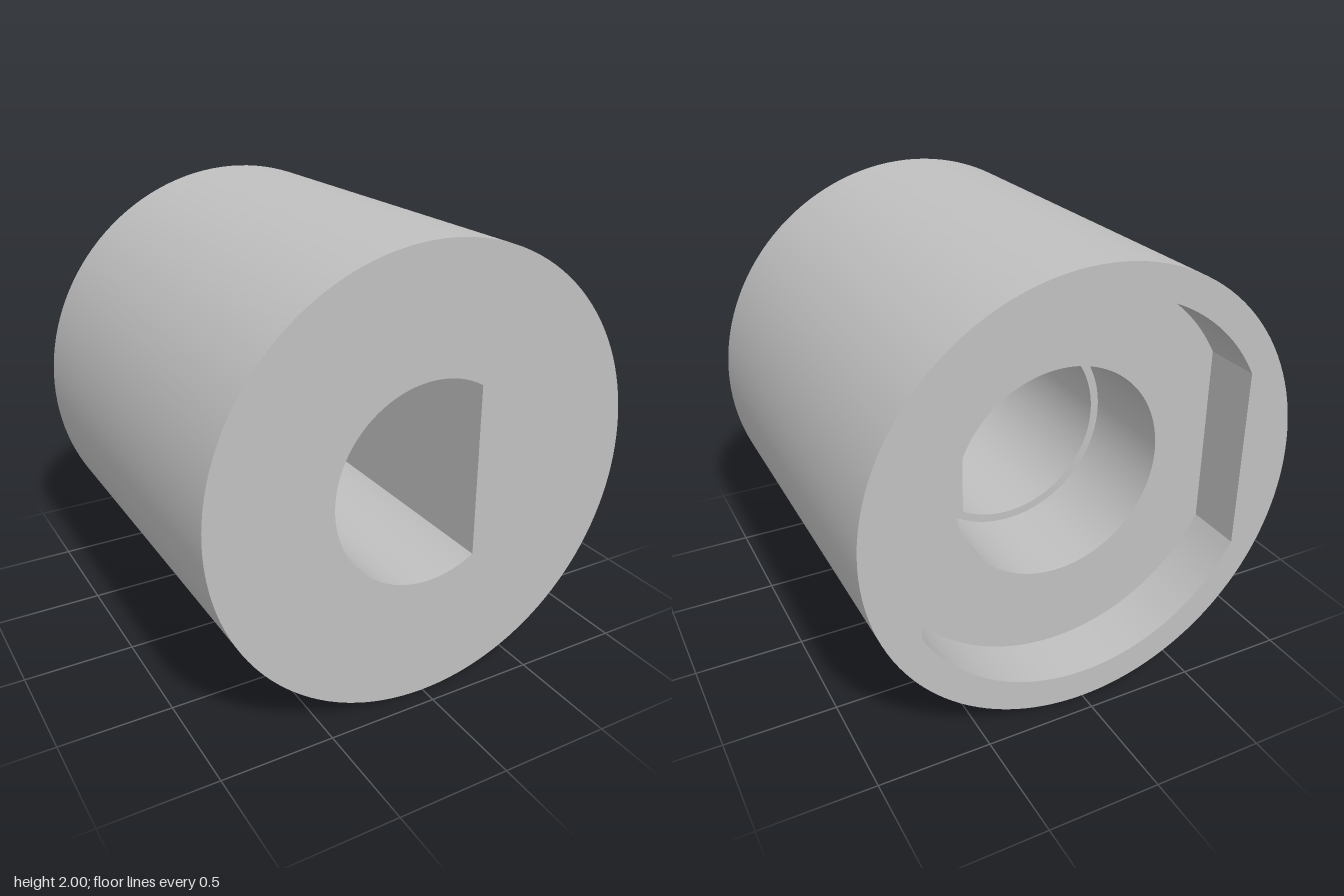
import * as THREE from 'three';
import { toCreasedNormals } from 'three/addons/utils/BufferGeometryUtils.js';

const HALF = 0.92;       // half length of the sleeve
const SHOULDER = -0.19;  // where the D-hole meets the round bore
const FLOOR = -0.66;     // floor of the rear recess

// Counter-clockwise circle of radius r, cut flat at x = right and x = -left
function outline(r, left = r, right = r, steps = 64) {
  const a = Math.acos(right / r), b = Math.acos(left / r);
  const points = [];
  const arc = (from, to, first, last) => {
    for (let i = first; i <= last; i++) {
      const t = from + (to - from) * i / steps;
      points.push(new THREE.Vector2(r * Math.cos(t), r * Math.sin(t)));
    }
  };
  arc(a, Math.PI - b, 0, steps);
  arc(Math.PI + b, 2 * Math.PI - a, b > 0 ? 0 : 1, a > 0 ? steps : steps - 1);
  return points;
}

// Wall swept along z from an outline, facing outward or inward
function wall(points, z0, z1, inward) {
  const ring = inward ? [...points].reverse() : points;
  const position = [];
  ring.forEach((p, i) => {
    const q = ring[(i + 1) % ring.length];
    position.push(p.x, p.y, z0, q.x, q.y, z0, q.x, q.y, z1);
    position.push(p.x, p.y, z0, q.x, q.y, z1, p.x, p.y, z1);
  });
  const geometry = new THREE.BufferGeometry();
  geometry.setAttribute('position', new THREE.Float32BufferAttribute(position, 3));
  return toCreasedNormals(geometry, 0.3);
}

// Flat face between two outlines, facing the front or the back
function face(outer, hole, z, back) {
  const place = (pts) => pts.map((p) => new THREE.Vector2(back ? -p.x : p.x, p.y));
  const shape = new THREE.Shape(place(outer));
  shape.holes.push(new THREE.Path(place(hole)));
  const geometry = new THREE.ShapeGeometry(shape);
  if (back) geometry.rotateY(Math.PI);
  return geometry.translate(0, 0, z);
}

export function createModel() {
  const model = new THREE.Group();
  model.name = 'sleeve';
  const grey = new THREE.MeshStandardMaterial({ color: 0xc0c0c0 });
  grey.name = 'grey';

  const add = (name, geometry) => {
    const mesh = new THREE.Mesh(geometry, grey);
    mesh.name = name;
    mesh.position.y = 1;
    model.add(mesh);
  };

  const body = outline(1);
  const dHole = outline(0.448, 0.448, 0.23);
  const bore = outline(0.487);
  const recess = outline(0.861, 0.755, 0.755);

  // Outer body
  add('outerWall', wall(body, -HALF, HALF, false));
  add('frontFace', face(body, dHole, HALF, false));
  add('backRim', face(body, recess, -HALF, true));

  // Stepped passage, from front to back
  add('dHoleWall', wall(dHole, SHOULDER, HALF, true));
  add('boreShoulder', face(bore, dHole, SHOULDER, true));
  add('boreWall', wall(bore, FLOOR, SHOULDER, true));
  add('recessFloor', face(recess, bore, FLOOR, true));
  add('recessWall', wall(recess, -HALF, FLOOR, true));

  return model;
}
